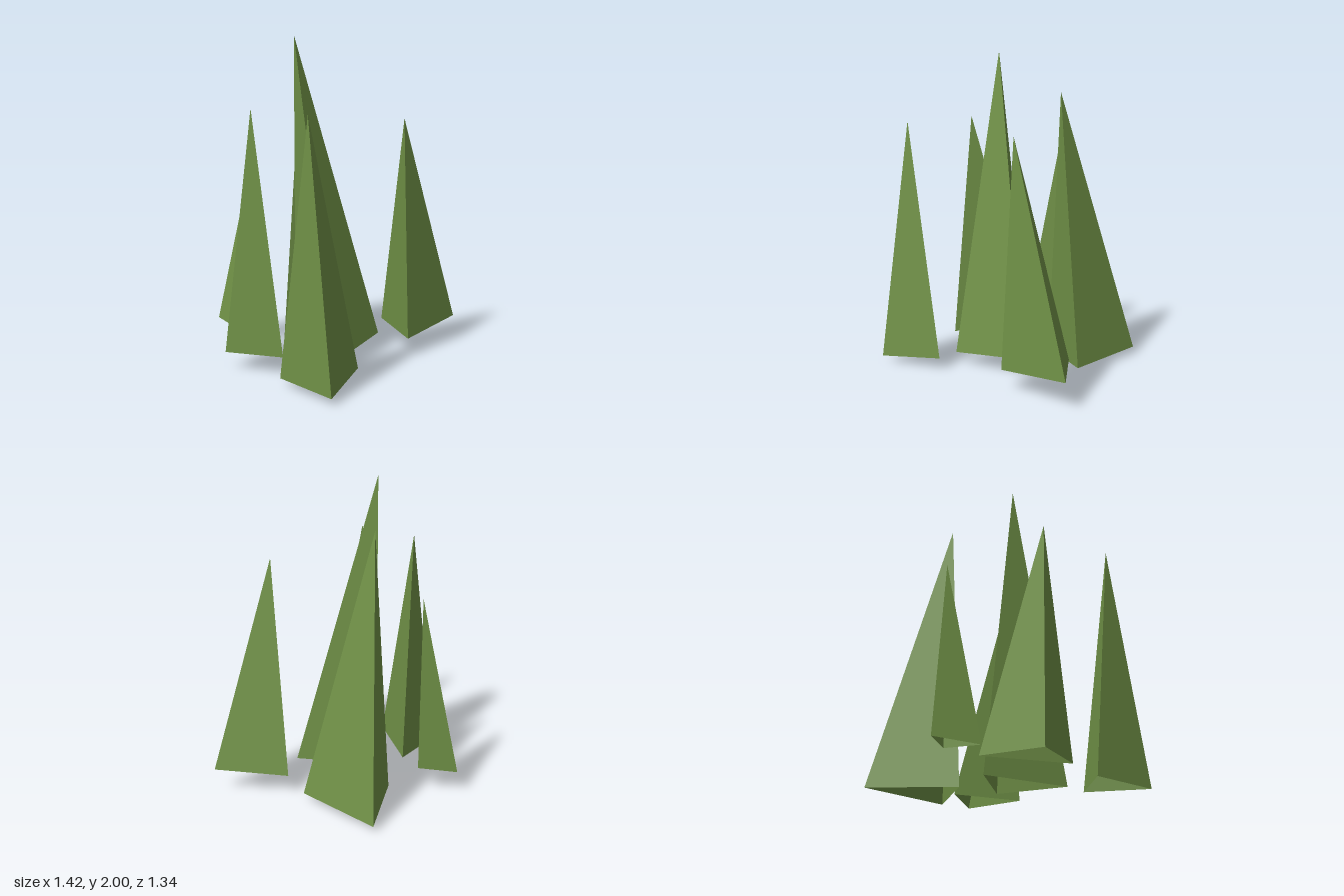
import * as THREE from 'three';

// Every blade base lies on a plane tilted sideways by this slope
const TILT = 0.089;

// apex [x, y, z]; base corners [x, z], counterclockwise from above; lift = base height at x = 0
const BLADES = [
  { name: 'centreBlade', apex: [-0.3, 2.0, -0.005], lift: 0.105, base: [[-0.16, -0.14], [-0.34, 0.36], [0.18, 0.27]] },
  { name: 'backLeftBlade', apex: [0.01, 1.74, -0.255], lift: 0.0125, base: [[-0.12, -0.285], [0.385, 0], [0.375, -0.585]] },
  { name: 'frontLeftBlade', apex: [0.24, 1.5, 0.415], lift: 0.102, base: [[0.41, 0.115], [0.205, 0.49], [0.71, 0.49]] },
  { name: 'backRightBlade', apex: [-0.615, 1.575, -0.05], lift: 0.172, base: [[-0.71, -0.195], [-0.575, 0.16], [-0.275, -0.275]] },
  { name: 'frontRightBlade', apex: [-0.67, 1.557, 0.455], lift: 0.103, base: [[-0.68, 0.24], [-0.715, 0.665], [-0.32, 0.52]] },
  { name: 'rearBlade', apex: [-0.2, 1.32, -0.465], lift: 0.186, base: [[-0.35, -0.67], [-0.43, -0.39], [-0.2, -0.465]] },
];

// Three flat sides meeting at the tip, open underneath
function bladeGeometry({ apex, base, lift }) {
  const corners = base.map(([x, z]) => [x, lift + TILT * x, z]);
  const positions = corners.flatMap((c, i) => [...c, ...corners[(i + 1) % 3], ...apex]);
  const geometry = new THREE.BufferGeometry();
  geometry.setAttribute('position', new THREE.Float32BufferAttribute(positions, 3));
  geometry.computeVertexNormals();
  return geometry;
}

export function createModel() {
  const grass = new THREE.MeshStandardMaterial({ color: 0x6f9046, side: THREE.DoubleSide, flatShading: true });
  grass.name = 'grassGreen';

  const group = new THREE.Group();
  group.name = 'grassTuft';
  for (const blade of BLADES) {
    const mesh = new THREE.Mesh(bladeGeometry(blade), grass);
    mesh.name = blade.name;
    group.add(mesh);
  }
  return group;
}
